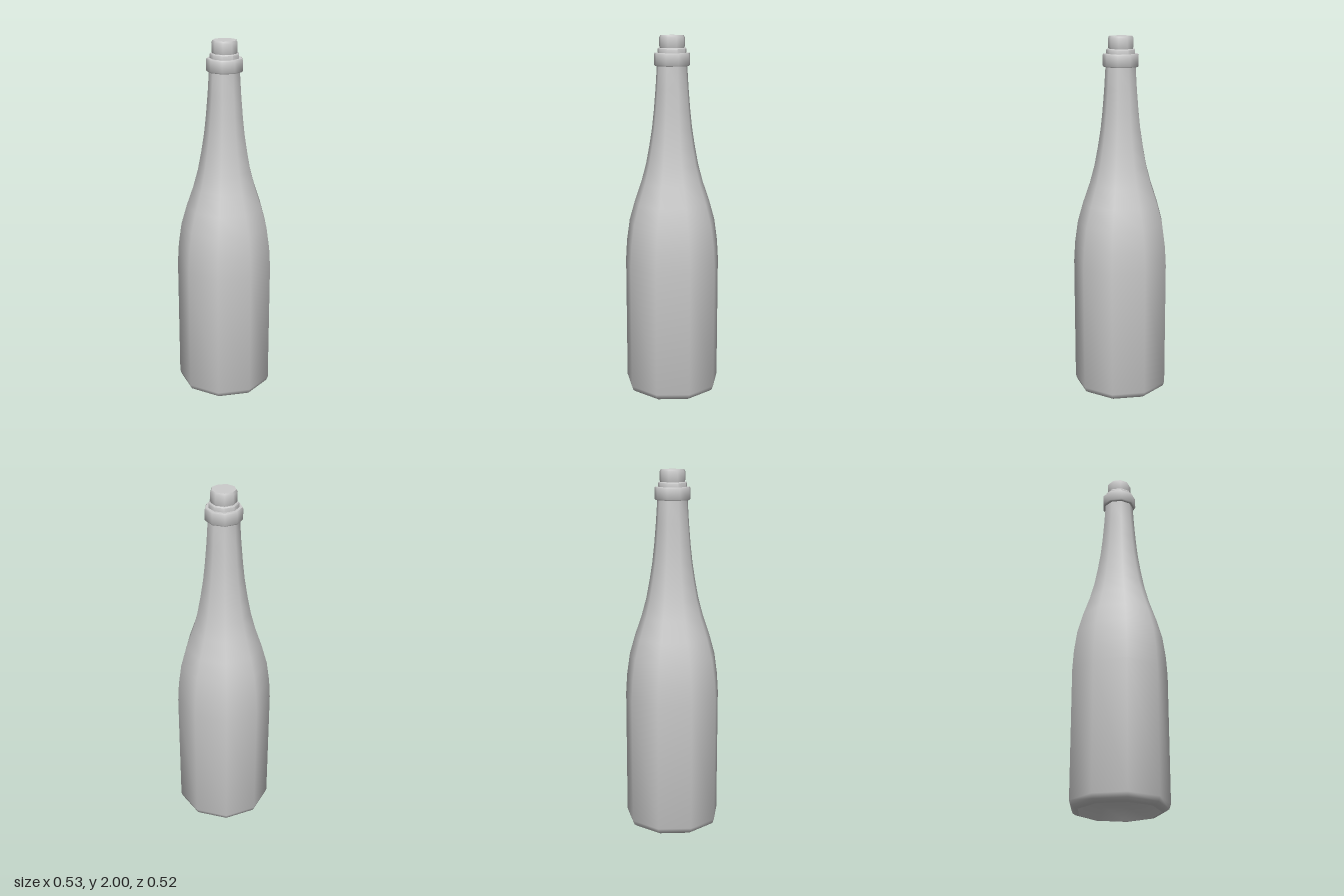
import * as THREE from 'three';
import { toCreasedNormals } from 'three/addons/utils/BufferGeometryUtils.js';

const SIDES = 9;

export function createModel() {
  const group = new THREE.Group();
  group.name = 'bottle';
  const material = new THREE.MeshStandardMaterial({ color: 0xcccccc });

  // Turns a profile of [radius, height] pairs into a nine-sided part, one corner to the back
  function turned(name, profile) {
    const points = profile.map(([r, y]) => new THREE.Vector2(r, y));
    const lathe = new THREE.LatheGeometry(points, SIDES, Math.PI);
    const mesh = new THREE.Mesh(toCreasedNormals(lathe, 0.9), material);
    mesh.name = name;
    mesh.position.z = 0.007; // centres the odd-sided outline
    group.add(mesh);
  }

  // Glass: hollow underside, rounded foot, straight body, sloping shoulder and long neck
  turned('glassBody', [
    [0, 0.12], [0.09, 0.105], [0.17, 0.065], [0.22, 0],
    [0.24, 0.003], [0.258, 0.015], [0.267, 0.04],
    [0.267, 0.75], [0.26, 0.86], [0.243, 0.98], [0.212, 1.09], [0.174, 1.2],
    [0.147, 1.3], [0.128, 1.4], [0.112, 1.5], [0.101, 1.6], [0.091, 1.72], [0.083, 1.85],
  ]);

  // Thick ring around the mouth
  turned('collar', [
    [0.075, 1.838], [0.095, 1.838], [0.099, 1.844],
    [0.099, 1.9], [0.095, 1.907], [0.07, 1.907],
  ]);

  // Thin lip above the ring
  turned('lip', [
    [0.079, 1.9], [0.079, 1.928], [0.075, 1.933], [0.06, 1.933],
  ]);

  // Stopper with a bevelled top
  turned('cork', [
    [0.065, 1.925], [0.07, 1.942], [0.07, 1.988], [0.064, 2], [0, 2],
  ]);

  return group;
}
